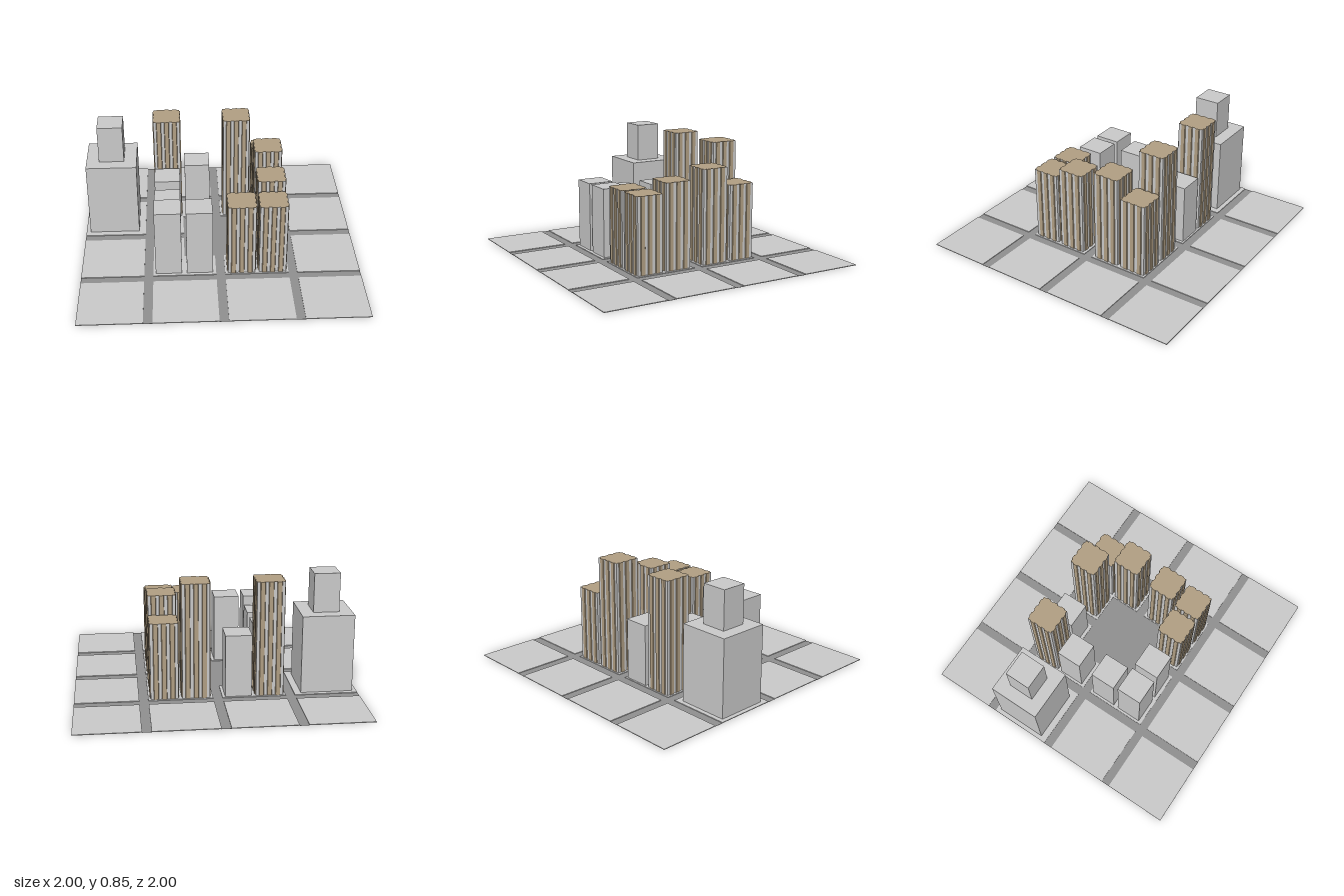
import * as THREE from 'three';

const grey = new THREE.MeshStandardMaterial({ color: 0xcccccc, flatShading: true });
const asphalt = new THREE.MeshStandardMaterial({ color: 0x919191, flatShading: true });
const brown = new THREE.MeshStandardMaterial({ color: 0xb2a084, flatShading: true });

// Box given by its centre on the ground plane, its size and its lower and upper height
function block(name, x, z, w, d, y0, y1, material) {
  const mesh = new THREE.Mesh(new THREE.BoxGeometry(w, y1 - y0, d), material);
  mesh.position.set(x, (y0 + y1) / 2, z);
  mesh.name = name;
  return mesh;
}

// Ground outline of [x, z] points raised from y0 to y1
function prism(name, points, y0, y1, material) {
  const shape = new THREE.Shape(points.map(([x, z]) => new THREE.Vector2(x, -z)));
  const geometry = new THREE.ExtrudeGeometry(shape, { depth: y1 - y0, bevelEnabled: false });
  geometry.rotateX(-Math.PI / 2);
  const mesh = new THREE.Mesh(geometry, material);
  mesh.position.y = y0;
  mesh.name = name;
  return mesh;
}

// Square outline with three shallow bays on every side
function bayOutline() {
  const recess = 0.096, face = 0.103, half = 0.0145, slope = 0.004;
  const side = [[-recess, recess]];
  for (const c of [-0.058, 0, 0.058]) {
    side.push([c - half - slope, recess], [c - half, face], [c + half, face], [c + half + slope, recess]);
  }
  const points = [];
  for (let i = 0; i < 4; i++) {
    const cos = Math.round(Math.cos(i * Math.PI / 2)), sin = Math.round(Math.sin(i * Math.PI / 2));
    for (const [x, z] of side) points.push([x * cos + z * sin, z * cos - x * sin]);
  }
  return points;
}

// Brown bays and roof around a grey core
function stripedTower(x, z, height) {
  const tower = new THREE.Group();
  tower.name = 'stripedTower';
  tower.add(prism('baysAndRoof', bayOutline(), 0, height, brown));
  tower.add(block('greyCore', 0, 0, 0.194, 0.194, 0.003, height - 0.002, grey));
  tower.position.set(x, 0, z);
  return tower;
}

export function createModel() {
  const city = new THREE.Group();
  city.name = 'cityBlocks';

  // Roads and central plaza
  for (const c of [-0.517, -0.002, 0.516]) {
    city.add(block('roadAlongX', 0, c, 2, 0.066, 0, 0.001, asphalt));
    city.add(block('roadAlongZ', c, 0, 0.066, 2, 0, 0.001, asphalt));
  }
  city.add(block('plaza', 0, 0, 0.53, 0.53, 0, 0.001, asphalt));

  // Raised pavements: full squares outside, L shapes around the plaza
  const spans = [[-1, -0.55], [-0.485, -0.035], [0.03, 0.485], [0.548, 1]];
  spans.forEach(([x0, x1], i) => spans.forEach(([z0, z1], j) => {
    const inner = (i === 1 || i === 2) && (j === 1 || j === 2);
    if (!inner) {
      city.add(block('pavement', (x0 + x1) / 2, (z0 + z1) / 2, x1 - x0, z1 - z0, 0.001, 0.006, grey));
      return;
    }
    const [xo, xi] = i === 1 ? [x0, x1] : [x1, x0];
    const [zo, zi] = j === 1 ? [z0, z1] : [z1, z0];
    const px = Math.sign(xo) * 0.26, pz = Math.sign(zo) * 0.26;
    city.add(prism('cornerPavement',
      [[xo, zo], [xi, zo], [xi, pz], [px, pz], [px, zi], [xo, zi]], 0.001, 0.006, grey));
  }));

  // Striped towers: x, z, height
  const striped = [
    [-0.37, -0.375, 0.835], [0.148, -0.375, 0.835], [0.37, -0.375, 0.56],
    [0.37, -0.153, 0.695], [0.37, 0.15, 0.63], [0.37, 0.373, 0.56], [0.148, 0.373, 0.56],
  ];
  for (const [x, z, h] of striped) city.add(stripedTower(x, z, h));

  // Plain grey buildings: x, z, height
  const plain = [
    [-0.149, -0.379, 0.455], [-0.374, -0.154, 0.455], [-0.374, 0.142, 0.455],
    [-0.374, 0.367, 0.515], [-0.151, 0.367, 0.515],
  ];
  for (const [x, z, h] of plain) city.add(block('plainBuilding', x, z, 0.187, 0.187, 0, h, grey));

  // Stepped tower
  const stepped = new THREE.Group();
  stepped.name = 'steppedTower';
  stepped.add(block('lowerStage', 0, 0, 0.37, 0.37, 0, 0.57, grey));
  stepped.add(block('upperStage', 0, 0, 0.185, 0.185, 0.57, 0.852, grey));
  stepped.position.set(-0.783, 0, -0.267);
  city.add(stepped);

  return city;
}
